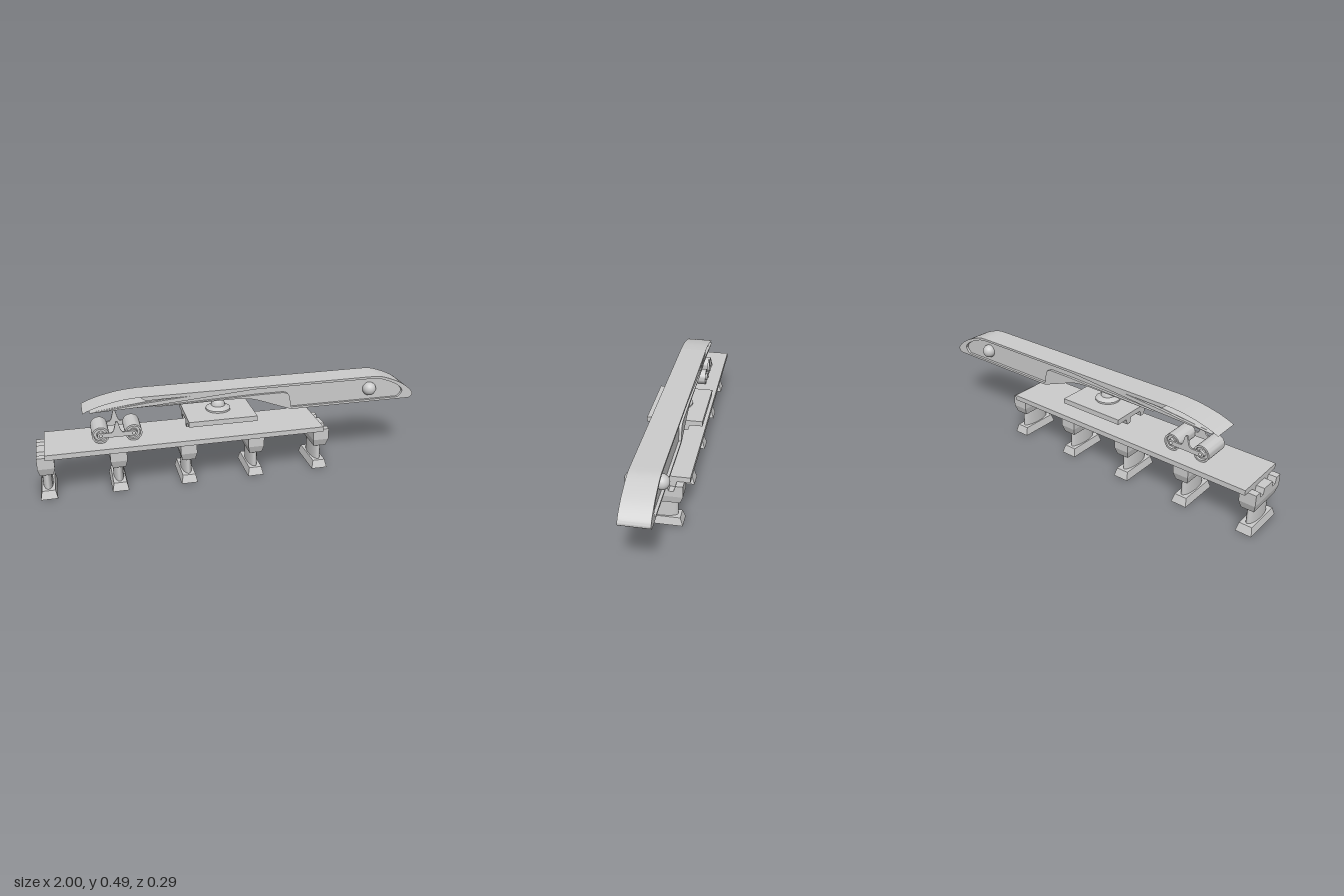
import * as THREE from 'three';
import { toCreasedNormals } from 'three/addons/utils/BufferGeometryUtils.js';

const grey = new THREE.MeshStandardMaterial({ color: 0xcccccc });
const sheetGrey = new THREE.MeshStandardMaterial({ color: 0xcccccc, side: THREE.DoubleSide });

function add(parent, name, geometry, x = 0, y = 0, z = 0, material = grey) {
  const mesh = new THREE.Mesh(geometry, material);
  mesh.name = name;
  mesh.position.set(x, y, z);
  parent.add(mesh);
  return mesh;
}

const toShape = (points) => new THREE.Shape(points.map(([x, y]) => new THREE.Vector2(x, y)));

// smooth run of points through a few control points
function smooth(points, n = 16) {
  const curve = new THREE.SplineCurve(points.map(([x, y]) => new THREE.Vector2(x, y)));
  return curve.getPoints(n).map((p) => [p.x, p.y]);
}

// side outline (x, y) extruded from z0 to z1
function slab(points, z0, z1) {
  const geo = new THREE.ExtrudeGeometry(toShape(points), { depth: z1 - z0, bevelEnabled: false });
  geo.translate(0, 0, z0);
  return toCreasedNormals(geo, 0.5);
}

// cross-section (z, y) extruded from x0 to x1
function bar(points, x0, x1) {
  const geo = new THREE.ExtrudeGeometry(toShape(points), { depth: x1 - x0, bevelEnabled: false });
  geo.rotateY(Math.PI / 2);
  return geo.translate(x0, 0, 0);
}

// box from y0 to y1 with different half sizes at the bottom and top
function taper(x0, z0, x1, z1, y0, y1) {
  const geo = new THREE.BoxGeometry(2, 1, 2);
  const p = geo.attributes.position;
  for (let i = 0; i < p.count; i++) {
    const top = p.getY(i) > 0;
    p.setXYZ(i, p.getX(i) * (top ? x1 : x0), top ? y1 : y0, p.getZ(i) * (top ? z1 : z0));
  }
  geo.computeVertexNormals();
  return geo;
}

// the rail ribs, shared by the deck, the saddle and the notched pier caps
const ribs = (y) => [
  [-0.078, y], [-0.069, y - 0.03], [-0.045, y - 0.03], [-0.038, y],
  [0.038, y], [0.045, y - 0.03], [0.069, y - 0.03], [0.078, y],
];
const deckSection = (y) => [
  [-0.143, y], ...ribs(y), [0.143, y], [0.143, y + 0.027], [-0.143, y + 0.027],
];

function buildPier(x) {
  const pier = new THREE.Group();
  pier.name = 'pier';
  pier.position.x = x;
  add(pier, 'pierFoot', taper(0.042, 0.114, 0.033, 0.1, 0, 0.042));
  const shaft = new THREE.CylinderGeometry(1, 1, 0.09, 40).scale(0.026, 1, 0.085);
  add(pier, 'pierShaft', shaft, 0, 0.086);
  add(pier, 'pierCapBase', taper(0.033, 0.1, 0.042, 0.114, 0.13, 0.17));
  const cap = [[-0.114, 0.17], [0.114, 0.17], [0.114, 0.23], ...ribs(0.23).reverse(), [-0.114, 0.23]];
  add(pier, 'pierCap', bar(cap, -0.042, 0.042));
  return pier;
}

function buildBogie() {
  const bogie = new THREE.Group();
  bogie.name = 'bogie';
  bogie.position.set(-0.598, 0.301, 0);
  const half = [[0, 0.064], [0.018, 0.064], [0.02, 0.06], [0.032, 0.06], [0.034, 0.071], [0.043, 0.071]];
  const profile = [...half.map(([r, h]) => [r, -h]), ...[...half].reverse()]
    .map(([r, h]) => new THREE.Vector2(r, h));
  for (const x of [-0.082, 0.082]) {
    const roller = new THREE.LatheGeometry(profile, 36).rotateX(Math.PI / 2);
    add(bogie, 'roller', toCreasedNormals(roller, 0.5), x);
    for (const s of [-1, 1]) {
      add(bogie, 'axleHub', new THREE.CylinderGeometry(0.017, 0.017, 0.016, 24).rotateX(Math.PI / 2), x, 0, s * 0.07);
      add(bogie, 'axleEnd', new THREE.SphereGeometry(0.008, 16, 12), x, 0, s * 0.078);
    }
  }
  // side frame with its pointed post
  const frame = [
    [-0.082, -0.012], [0.082, -0.012], [0.082, 0.012], [0.027, 0.012], [0.018, 0.022],
    [0.005, 0.07], [-0.005, 0.07], [-0.018, 0.022], [-0.027, 0.012], [-0.082, 0.012],
  ];
  add(bogie, 'sideFrameLeft', slab(frame, 0.068, 0.078));
  add(bogie, 'sideFrameRight', slab(frame, -0.078, -0.068));
  return bogie;
}

function buildCarriage() {
  const car = new THREE.Group();
  car.name = 'carriage';

  const nose = [[0.74, 0.486], [0.8, 0.483], [0.865, 0.463], [0.925, 0.436], [0.97, 0.405], [0.995, 0.378], [0.997, 0.36], [0.98, 0.346]];
  const noseInner = [[0.74, 0.474], [0.795, 0.471], [0.85, 0.453], [0.905, 0.426], [0.935, 0.395], [0.925, 0.37], [0.91, 0.357]];

  // recessed inner body
  add(car, 'innerBody', slab([
    [-0.725, 0.425], [0.02, 0.43], [0.12, 0.415], [0.31, 0.347], [0.95, 0.347],
    ...smooth(nose).reverse().slice(3), [-0.47, 0.484], [-0.44, 0.456],
  ], -0.057, 0.057));

  // full width band running over the roof, round the nose and under the floor
  add(car, 'shellBand', slab([
    [-0.475, 0.486], ...smooth(nose, 24), [0.31, 0.345], [0.305, 0.357],
    ...smooth(noseInner, 20).reverse(), [0.1, 0.474], [-0.45, 0.465],
  ], -0.071, 0.071));

  // raised flank over the arch
  add(car, 'archFlank', slab([
    [-0.4, 0.428], ...smooth([[0.0, 0.43], [0.06, 0.427], [0.12, 0.415], [0.22, 0.378], [0.31, 0.345]], 14),
    ...smooth([[0.305, 0.38], [0.3, 0.41], [0.29, 0.432], [0.265, 0.442]], 10), [0.12, 0.442],
  ], -0.071, 0.071));

  // slim blades sweeping back to the tail
  const blade = [
    [-0.725, 0.425], [-0.4, 0.436], [-0.1, 0.458], [0.1, 0.473], [0.3, 0.482], [0.0, 0.482], [-0.23, 0.468], [-0.44, 0.453],
  ];
  add(car, 'tailBladeLeft', slab(blade, 0.055, 0.071));
  add(car, 'tailBladeRight', slab(blade, -0.071, -0.055));

  // thin roof sheet curving down over the tail
  const tail = smooth([[-0.475, 0.486], [-0.57, 0.478], [-0.66, 0.46], [-0.72, 0.442], [-0.76, 0.425]], 16);
  const sheet = new THREE.PlaneGeometry(1, 0.142, 16, 1).rotateX(-Math.PI / 2);
  const p = sheet.attributes.position;
  for (let i = 0; i < p.count; i++) {
    const [x, y] = tail[16 - (i % 17)];
    p.setXYZ(i, x, y, p.getZ(i));
  }
  sheet.computeVertexNormals();
  add(car, 'tailSheet', sheet, 0, 0, 0, sheetGrey);

  // round side pods near the nose
  for (const s of [-1, 1]) {
    add(car, 'sidePod', new THREE.SphereGeometry(0.036, 32, 20), 0.745, 0.417, s * 0.064);
  }
  return car;
}

export function createModel() {
  const model = new THREE.Group();
  model.name = 'elevatedTrain';

  // viaduct
  for (let i = 0; i < 5; i++) model.add(buildPier(-0.958 + i * 0.3565));
  add(model, 'deck', bar(deckSection(0.23), -0.958, 0.468));

  // saddle plate with its pivot
  add(model, 'saddle', bar(deckSection(0.33), -0.247, 0.107));
  const pivot = [[0, 0.357], [0.064, 0.357], [0.064, 0.366], [0.045, 0.378], [0.036, 0.38], [0.034, 0.393], [0.027, 0.408], [0.015, 0.417], [0, 0.42]]
    .map(([r, y]) => new THREE.Vector2(r, y));
  add(model, 'pivotDome', toCreasedNormals(new THREE.LatheGeometry(pivot, 36), 0.6), -0.067);

  model.add(buildBogie(), buildCarriage());
  return model;
}
